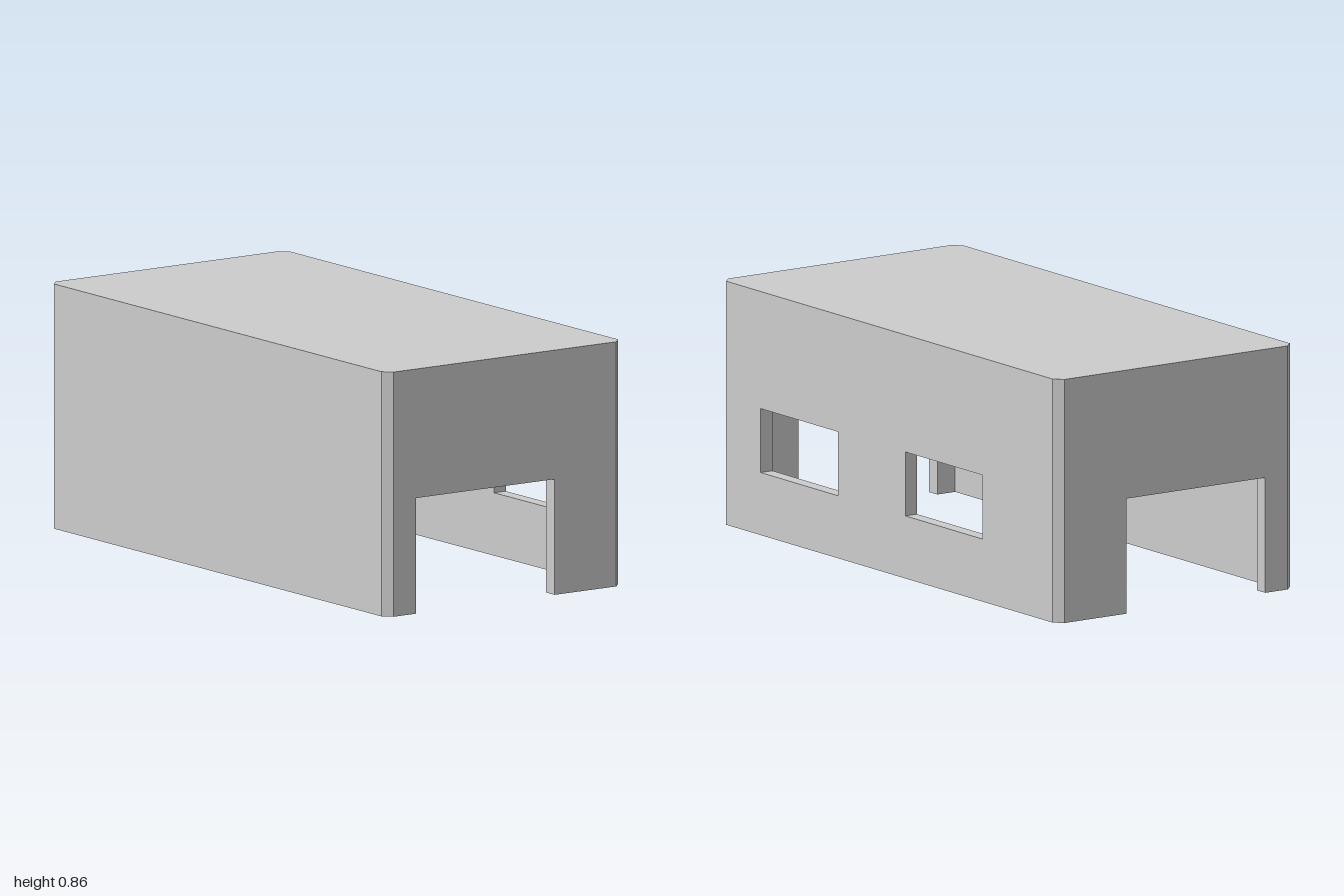
import * as THREE from 'three';

const W = 0.5, L = 1, H = 0.857;          // half width, half length, height
const T = 0.05, C = 0.03;                 // wall thickness, corner chamfer
const CEILING = 0.705;                    // underside of the thick roof
const DOOR = { x0: -0.375, x1: 0.21, top: 0.405 };
const WINDOWS = [[0.305, 0.765], [-0.555, -0.095]]; // z ranges
const SILL = 0.22, HEAD = 0.445;

const material = new THREE.MeshStandardMaterial({ color: 0xcccccc, flatShading: true });
const points = (list) => list.map(([a, b]) => new THREE.Vector2(a, b));
const rect = (a0, b0, a1, b1) => points([[a0, b0], [a1, b0], [a1, b1], [a0, b1]]);

// Extrude a floor plan (x, z) between two heights
function planMesh(name, plan, y0, y1) {
  const geometry = new THREE.ExtrudeGeometry(new THREE.Shape(points(plan)), { depth: y1 - y0, bevelEnabled: false });
  geometry.rotateX(Math.PI / 2).translate(0, y1, 0);
  const mesh = new THREE.Mesh(geometry, material);
  mesh.name = name;
  return mesh;
}

// Long wall drawn in (z, y), with its outer face at the given x plus thickness
function sideWall(name, outerX, windows) {
  const shape = new THREE.Shape(rect(-L + T, 0, L - T, CEILING));
  for (const [z0, z1] of windows) shape.holes.push(new THREE.Path(rect(z0, SILL, z1, HEAD)));
  const geometry = new THREE.ExtrudeGeometry(shape, { depth: T, bevelEnabled: false });
  geometry.rotateY(-Math.PI / 2).translate(outerX, 0, 0);
  const mesh = new THREE.Mesh(geometry, material);
  mesh.name = name;
  return mesh;
}

// End wall: two chamfered corner piers and a lintel over the doorway
function endWall(name, s) {
  const group = new THREE.Group();
  group.name = name;
  const pier = (side, jamb) => [
    [side * W, s * (L - T)], [side * W, s * (L - C)], [side * (W - C), s * L],
    [jamb, s * L], [jamb, s * (L - T)],
  ];
  group.add(
    planMesh('leftPier', pier(1, DOOR.x1), 0, CEILING),
    planMesh('rightPier', pier(-1, DOOR.x0), 0, CEILING),
    planMesh('lintel', [
      [DOOR.x0, s * (L - T)], [DOOR.x1, s * (L - T)], [DOOR.x1, s * L], [DOOR.x0, s * L],
    ], DOOR.top, CEILING),
  );
  return group;
}

export function createModel() {
  const model = new THREE.Group();
  model.name = 'openEndedCover';

  // Solid roof with chamfered corners
  const roofPlan = [
    [W, -L + C], [W, L - C], [W - C, L], [-W + C, L],
    [-W, L - C], [-W, -L + C], [-W + C, -L], [W - C, -L],
  ];
  model.add(planMesh('roof', roofPlan, CEILING, H));

  // Windowed wall on one side, blank wall on the other
  model.add(sideWall('windowWall', W, WINDOWS), sideWall('blankWall', -W + T, []));

  // Matching doorways at both ends
  model.add(endWall('frontWall', 1), endWall('backWall', -1));
  return model;
}
